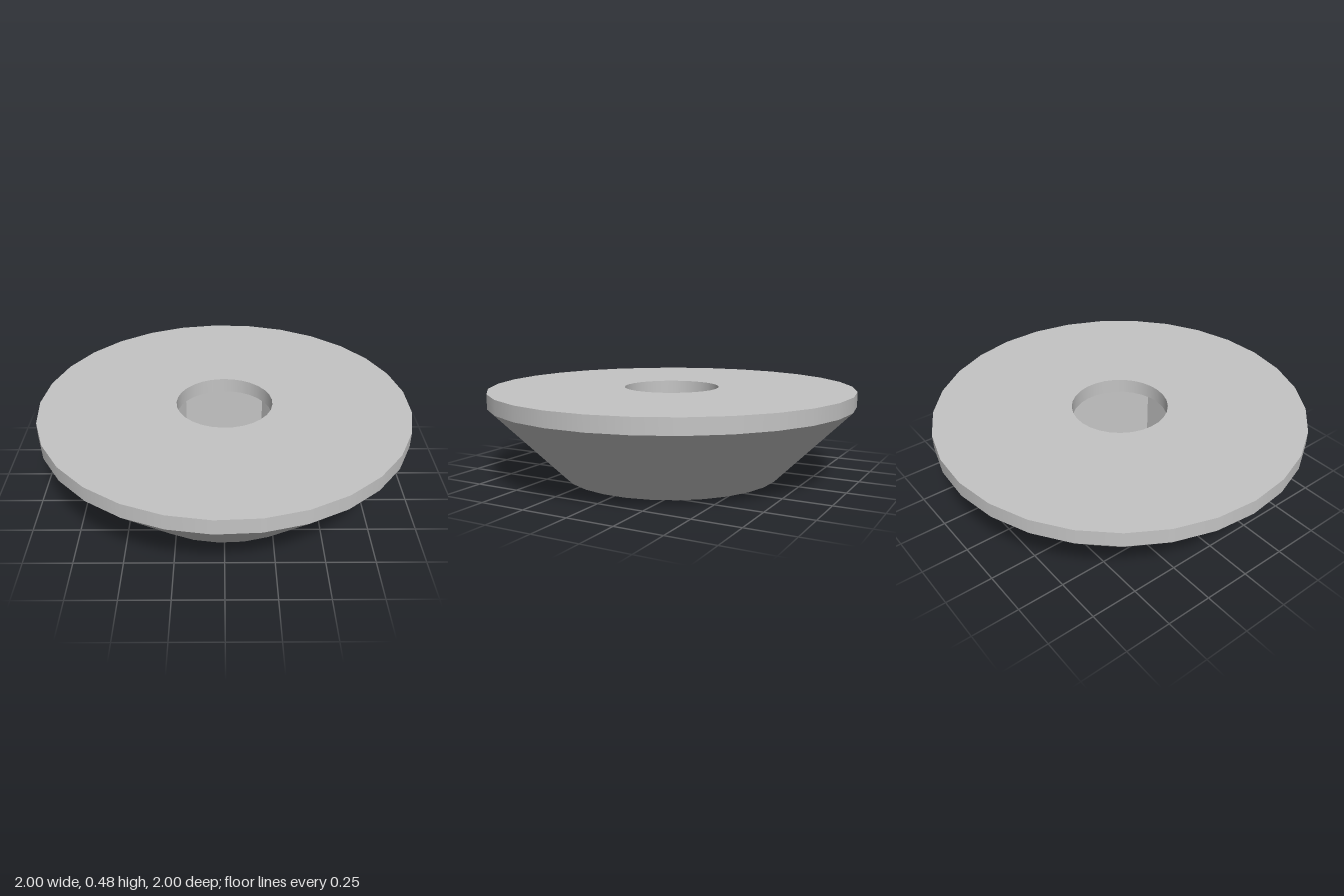
import * as THREE from 'three';

const SIDES = 29;
const RIM_R = 1.003, BASE_R = 0.602, HOLE_R = 0.261, HEX_R = 0.462;
const SHOULDER_Y = 0.4, TOP_Y = 0.48;

// Corners of a regular polygon with one corner on -x
function polygon(radius, sides) {
  return Array.from({ length: sides }, (_, i) => {
    const a = Math.PI + (i / sides) * Math.PI * 2;
    return new THREE.Vector2(radius * Math.cos(a), radius * Math.sin(a));
  });
}

// Wall between two rings: a rising profile faces outward, a falling one inward
function wall(r0, y0, r1, y1, sides) {
  const profile = [new THREE.Vector2(r0, y0), new THREE.Vector2(r1, y1)];
  return new THREE.LatheGeometry(profile, sides, -Math.PI / 2);
}

// Flat horizontal face with a hole, facing up (1) or down (-1)
function plate(outer, inner, y, facing) {
  const shape = new THREE.Shape(outer);
  shape.holes.push(new THREE.Path(inner));
  return new THREE.ShapeGeometry(shape).rotateX(-facing * Math.PI / 2).translate(0, y, 0);
}

export function createModel() {
  const group = new THREE.Group();
  group.name = 'countersunkWasher';
  const grey = new THREE.MeshStandardMaterial({ color: 0xc4c4c4 });
  grey.name = 'grey';

  const add = (name, geometry) => {
    const mesh = new THREE.Mesh(geometry, grey);
    mesh.name = name;
    mesh.position.x = 0.003;
    group.add(mesh);
  };

  const hole = polygon(HOLE_R, SIDES);
  const hex = polygon(HEX_R, 6);

  // Outside: cone and straight rim
  add('cone', wall(BASE_R, 0, RIM_R, SHOULDER_Y, SIDES));
  add('rim', wall(RIM_R, SHOULDER_Y, RIM_R, TOP_Y, SIDES));
  add('topFace', plate(polygon(RIM_R, SIDES), hole, TOP_Y, 1));
  add('bottomFace', plate(polygon(BASE_R, SIDES), hex, 0, -1));

  // Inside: round bolt hole above a hexagonal nut pocket
  add('boltHole', wall(HOLE_R, TOP_Y, HOLE_R, SHOULDER_Y, SIDES));
  const pocket = wall(HEX_R, SHOULDER_Y, HEX_R, 0, 6).toNonIndexed();
  pocket.computeVertexNormals();
  add('nutPocket', pocket);
  add('pocketCeiling', plate(hex, hole, SHOULDER_Y, -1));

  return group;
}
